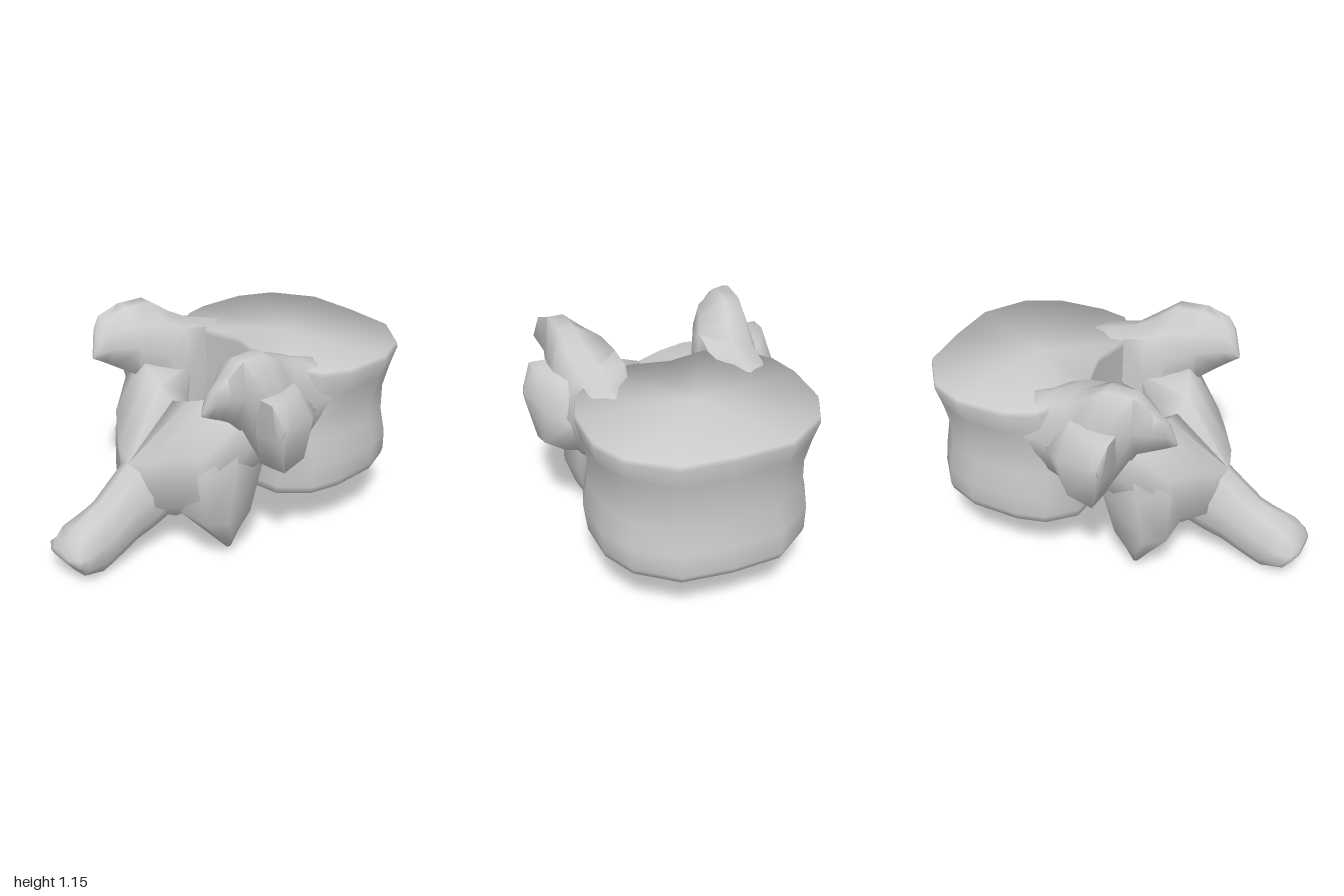
import * as THREE from 'three';
import { toCreasedNormals } from 'three/addons/utils/BufferGeometryUtils.js';

const material = new THREE.MeshStandardMaterial({ color: 0xcccccc });

// Skins a list of equal-length rings of [x, y, z] and closes both ends with fans.
function loft(rings, crease) {
  const n = rings[0].length;
  const points = rings.flat();
  const faces = [];
  for (let r = 0; r < rings.length - 1; r++) {
    for (let i = 0; i < n; i++) {
      const a = r * n + i, b = r * n + (i + 1) % n;
      faces.push([a, b, b + n], [a, b + n, a + n]);
    }
  }
  const cap = (start, flip) => {
    const c = points.length;
    const ring = points.slice(start, start + n);
    points.push([0, 1, 2].map(k => ring.reduce((s, p) => s + p[k], 0) / n));
    for (let i = 0; i < n; i++) {
      const a = start + i, b = start + (i + 1) % n;
      faces.push(flip ? [c, b, a] : [c, a, b]);
    }
  };
  cap(0, true);
  cap((rings.length - 1) * n, false);
  // A negative signed volume means the faces point inwards
  const v = points.map(p => new THREE.Vector3(...p));
  const volume = faces.reduce((s, [a, b, c]) => s + v[a].dot(v[b].clone().cross(v[c])), 0);
  if (volume < 0) faces.forEach(f => f.reverse());
  const g = new THREE.BufferGeometry();
  g.setAttribute('position', new THREE.Float32BufferAttribute(points.flat(), 3));
  g.setIndex(faces.flat());
  return toCreasedNormals(g, crease);
}

const acrossX = (x, yz) => yz.map(([y, z]) => [x, y, z]);
const acrossY = (y, xz) => xz.map(([x, z]) => [x, y, z]);
const acrossZ = (z, xy) => xy.map(([x, y]) => [x, y, z]);

export function createModel() {
  const model = new THREE.Group();
  const add = (name, rings, crease = 1.4) => {
    const mesh = new THREE.Mesh(loft(rings, crease), material);
    mesh.name = name;
    model.add(mesh);
  };
  // Adds a part and its mirror image across z = 0
  const addPair = (name, rings) => {
    add(name + 'Front', rings);
    add(name + 'Back', rings.map(ring => ring.map(([x, y, z]) => [x, y, -z])));
  };

  // Drum-shaped body: one outline, pinched at the waist, saddle-shaped end plates
  const half = [[1, 0], [0.985, 0.28], [0.84, 0.49], [0.66, 0.575], [0.4, 0.58],
    [0.25, 0.53], [0.13, 0.38], [0.115, 0.2]];
  const outline = [...half, [0.16, 0], ...half.slice(1).reverse().map(([x, z]) => [x, -z])];
  const top = (x, z) => 1.015 - 0.06 * x - 0.18 * (1 - x) * z * z;
  const bottom = (x, z) => 0.225 + 0.05 * x + 0.08 * z * z;
  const level = (t, sx, sz) => outline.map(([x, z]) => {
    const lo = bottom(x, z);
    return [0.115 + (x - 0.115) * sx, lo + (top(x, z) - lo) * t, z * sz];
  });
  add('body', [
    level(0, 0.965, 0.91), level(0.05, 0.98, 0.92), level(0.22, 0.96, 0.945),
    level(0.42, 0.94, 0.9), level(0.62, 0.945, 0.895), level(0.8, 0.965, 0.95),
    level(0.96, 1, 1), level(1, 0.995, 0.99),
  ], 2.6);

  // Bridge from the body that sweeps up into the upper joint
  addPair('pedicleAndUpperJoint', [
    acrossX(0.42, [[0.94, 0.42], [0.95, 0.36], [0.94, 0.3], [0.8, 0.24], [0.62, 0.26], [0.62, 0.44], [0.8, 0.52]]),
    acrossX(0.26, [[0.97, 0.46], [0.98, 0.36], [0.97, 0.25], [0.78, 0.2], [0.58, 0.23], [0.6, 0.46], [0.8, 0.53]]),
    acrossX(0.12, [[1.0, 0.46], [1.02, 0.36], [1.01, 0.22], [0.78, 0.2], [0.53, 0.22], [0.54, 0.46], [0.8, 0.56]]),
    acrossX(0, [[1.08, 0.48], [1.08, 0.39], [1.03, 0.23], [0.8, 0.21], [0.53, 0.22], [0.54, 0.48], [0.82, 0.58]]),
    acrossX(-0.1, [[1.15, 0.49], [1.15, 0.41], [1.07, 0.27], [0.9, 0.23], [0.57, 0.23], [0.57, 0.46], [0.9, 0.56]]),
    acrossX(-0.25, [[1.15, 0.5], [1.15, 0.42], [1.07, 0.33], [0.96, 0.3], [0.8, 0.32], [0.81, 0.45], [0.97, 0.53]]),
    acrossX(-0.36, [[1.1, 0.52], [1.09, 0.46], [1.04, 0.41], [0.96, 0.38], [0.86, 0.4], [0.87, 0.46], [1.0, 0.55]]),
    acrossX(-0.41, [[1.05, 0.49], [1.05, 0.46], [1.0, 0.42], [0.95, 0.4], [0.89, 0.42], [0.89, 0.45], [0.98, 0.5]]),
    acrossX(-0.45, [[0.93, 0.45], [0.93, 0.445], [0.93, 0.44], [0.92, 0.435], [0.91, 0.44], [0.91, 0.445], [0.92, 0.45]]),
  ]);

  // Short stub on the outer side
  addPair('sideStub', [
    acrossZ(0.4, [[-0.14, 0.97], [0.12, 0.97], [0.24, 0.78], [0.14, 0.56], [-0.09, 0.54], [-0.16, 0.75]]),
    acrossZ(0.54, [[-0.18, 0.95], [0.06, 0.95], [0.2, 0.78], [0.1, 0.57], [-0.09, 0.55], [-0.16, 0.75]]),
    acrossZ(0.63, [[-0.18, 0.95], [-0.09, 0.95], [0.09, 0.79], [0.04, 0.6], [-0.09, 0.56], [-0.14, 0.73]]),
    acrossZ(0.68, [[-0.14, 0.83], [-0.12, 0.83], [-0.1, 0.81], [-0.11, 0.79], [-0.12, 0.78], [-0.14, 0.8]]),
  ]);

  // Sloping plate that closes the far end of the canal
  addPair('lamina', [
    acrossZ(0, [[-0.28, 0.78], [-0.16, 0.7], [-0.27, 0.42], [-0.4, 0.17], [-0.57, 0.3], [-0.57, 0.52]]),
    acrossZ(0.12, [[-0.28, 0.82], [-0.09, 0.72], [-0.2, 0.42], [-0.36, 0.19], [-0.52, 0.3], [-0.54, 0.55]]),
    acrossZ(0.24, [[-0.25, 0.86], [0.04, 0.8], [0, 0.53], [-0.2, 0.3], [-0.42, 0.32], [-0.46, 0.6]]),
    acrossZ(0.36, [[-0.2, 0.88], [0.02, 0.82], [0, 0.54], [-0.16, 0.42], [-0.38, 0.4], [-0.38, 0.62]]),
    acrossZ(0.46, [[-0.16, 0.84], [0, 0.8], [0, 0.57], [-0.09, 0.56], [-0.22, 0.6], [-0.24, 0.74]]),
  ]);

  // Lower joint, broad at the top and narrowing to a point
  addPair('lowerJoint', [
    acrossY(0.72, [[-0.3, 0.2], [-0.08, 0.2], [0, 0.3], [-0.06, 0.44], [-0.22, 0.46], [-0.3, 0.38]]),
    acrossY(0.52, [[-0.39, 0.12], [-0.12, 0.15], [0, 0.28], [-0.04, 0.42], [-0.25, 0.45], [-0.39, 0.36]]),
    acrossY(0.26, [[-0.39, 0.12], [-0.2, 0.13], [-0.11, 0.28], [-0.11, 0.41], [-0.28, 0.44], [-0.38, 0.38]]),
    acrossY(0.14, [[-0.28, 0.15], [-0.2, 0.16], [-0.155, 0.28], [-0.155, 0.37], [-0.22, 0.4], [-0.28, 0.36]]),
    acrossY(0.05, [[-0.21, 0.33], [-0.2, 0.33], [-0.19, 0.34], [-0.19, 0.35], [-0.2, 0.35], [-0.21, 0.345]]),
  ]);

  // Long spine reaching down to -x: [x, bottom, top, half width]
  const spine = [[-0.36, 0.2, 0.68, 0.16], [-0.48, 0.14, 0.6, 0.14], [-0.58, 0.1, 0.51, 0.12],
    [-0.74, 0.02, 0.37, 0.115], [-0.8, 0, 0.34, 0.12], [-0.92, 0.035, 0.28, 0.14],
    [-0.97, 0.1, 0.22, 0.13], [-1, 0.14, 0.18, 0.08]];
  const spineSection = [[1, 0], [0.8, 0.6], [0.1, 1], [-0.5, 1], [-0.9, 0.65], [-1, 0],
    [-0.9, -0.65], [-0.5, -1], [0.1, -1], [0.8, -0.6]];
  add('spine', spine.map(([x, lo, hi, w]) => {
    const mid = (lo + hi) / 2, h = (hi - lo) / 2;
    return acrossX(x, spineSection.map(([y, z]) => [mid + h * y, w * z]));
  }));

  return model;
}
